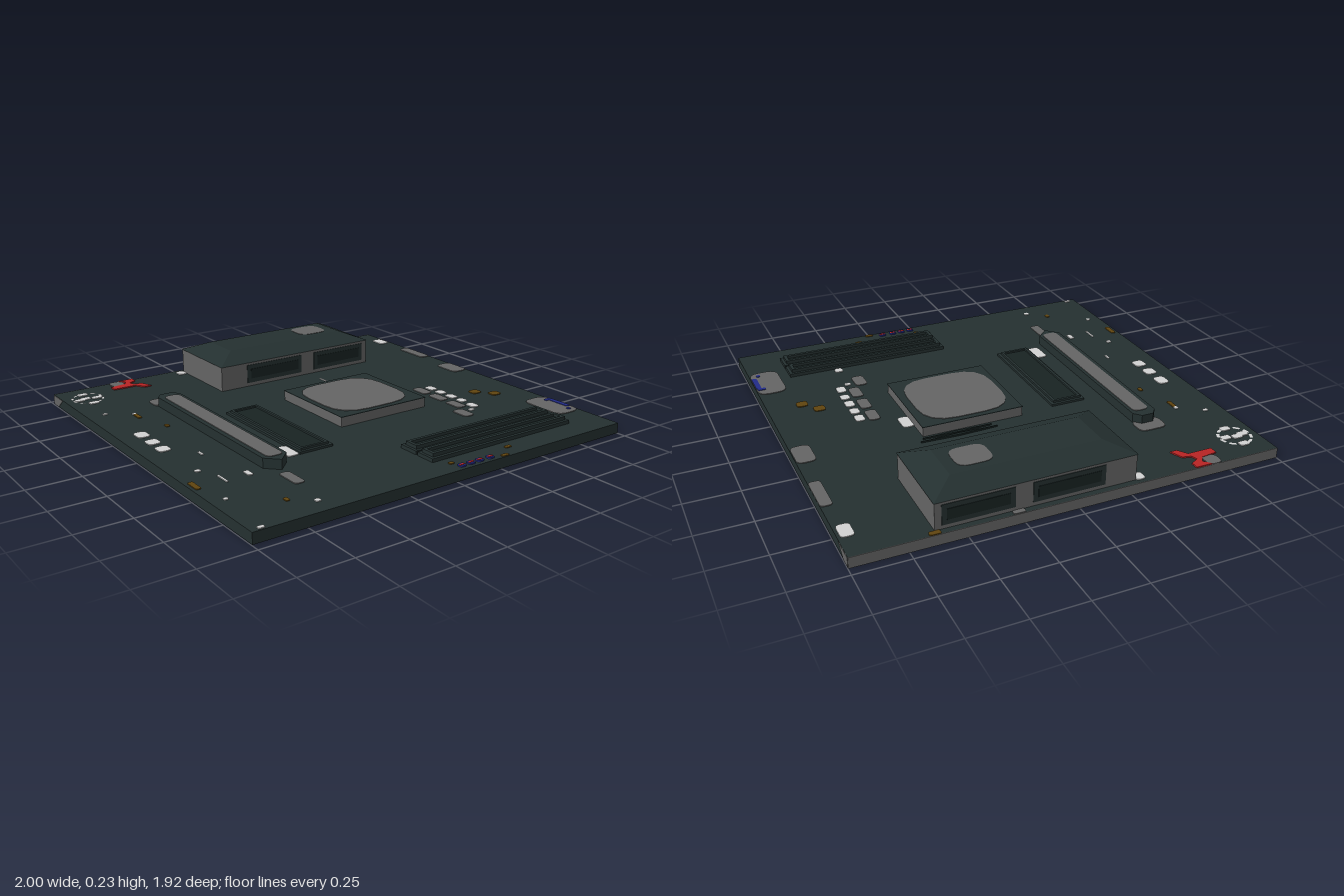
import * as THREE from 'three';

const mat = (name, color) => Object.assign(new THREE.MeshStandardMaterial({ color }), { name });

export function createModel() {
  const model = new THREE.Group();
  model.name = 'circuitBoard';
  const M = {
    board: mat('darkBoard', 0x243030),
    recess: mat('darkRecess', 0x182322),
    grey: mat('metalGrey', 0x646464),
    white: mat('paleGrey', 0xd2d2d2),
    red: mat('red', 0xb82424),
    blue: mat('blue', 0x222c88),
    brown: mat('brown', 0x60440f),
  };
  const TOP = 0.052;

  function add(name, geo, material) {
    const m = new THREE.Mesh(geo, material);
    m.name = name;
    model.add(m);
    return m;
  }
  // axis-aligned box given by its limits
  function box(name, x0, x1, y0, y1, z0, z1, material) {
    const m = add(name, new THREE.BoxGeometry(x1 - x0, y1 - y0, z1 - z0), material);
    m.position.set((x0 + x1) / 2, (y0 + y1) / 2, (z0 + z1) / 2);
    return m;
  }
  // plan outline from [x, z] points
  const outline = (pts, C = THREE.Shape) => new C(pts.map(([x, z]) => new THREE.Vector2(x, -z)));
  const rect = (x0, x1, z0, z1) => [[x0, z1], [x1, z1], [x1, z0], [x0, z0]];
  function slab(name, shape, y0, y1, material) {
    const geo = new THREE.ExtrudeGeometry(shape, { depth: y1 - y0, bevelEnabled: false, curveSegments: 4 });
    geo.rotateX(-Math.PI / 2);
    const m = add(name, geo, material);
    m.position.y = y0;
    return m;
  }
  // thin rounded pad centred on x, z
  function pad(name, x, z, w, d, material, y = TOP, h = 0.004) {
    const r = Math.min(w, d) * 0.35, a = w / 2, b = d / 2, s = new THREE.Shape();
    s.moveTo(-a + r, -b).lineTo(a - r, -b).quadraticCurveTo(a, -b, a, -b + r);
    s.lineTo(a, b - r).quadraticCurveTo(a, b, a - r, b).lineTo(-a + r, b);
    s.quadraticCurveTo(-a, b, -a, b - r).lineTo(-a, -b + r).quadraticCurveTo(-a, -b, -a + r, -b);
    const m = slab(name, s, y, y + h, material);
    m.position.x = x;
    m.position.z = z;
  }
  // four-sided tapered shell between two rectangles
  function taper(name, lo, hi, y0, y1, material) {
    const g = new THREE.BoxGeometry(1, 1, 1), p = g.attributes.position;
    for (let i = 0; i < p.count; i++) {
      const r = p.getY(i) > 0 ? hi : lo;
      p.setXYZ(i, p.getX(i) > 0 ? r[1] : r[0], p.getY(i) > 0 ? y1 : y0, p.getZ(i) > 0 ? r[3] : r[2]);
    }
    g.computeVertexNormals();
    add(name, g, material);
  }

  // main board with metal rear edge wrapping onto both sides
  box('board', -0.998, 0.998, 0.002, TOP, -0.957, 0.958, M.board);
  box('rearEdge', -0.998, 0.998, 0.002, TOP, -0.96, -0.957, M.grey);
  for (const s of [-1, 1]) {
    const side = new THREE.Shape([[0.957, 0.004], [0.9, 0.004], [0.84, 0.05], [0.957, 0.05]]
      .map(([a, b]) => new THREE.Vector2(a, b)));
    const m = add('sideEdge', new THREE.ExtrudeGeometry(side, { depth: 0.002, bevelEnabled: false }), M.grey);
    m.rotation.y = Math.PI / 2;
    m.position.x = s > 0 ? 0.998 : -1;
  }

  // underside plate with a dark opening
  const under = outline([[-0.455, 0.4], [-0.455, 0.65], [-0.575, 0.69], [-0.61, 0.82], [-0.925, 0.84],
    [-0.99, 0.73], [-0.95, 0.67], [-0.72, 0.66], [-0.7, 0.54], [-0.88, 0.49], [-0.95, 0.63], [-0.99, 0.63],
    [-0.94, 0.28], [-0.585, 0.27], [-0.565, 0.4]]);
  slab('undersidePlate', under, 0, 0.002, M.grey);

  // rear housing with tapered lid and framed windows
  box('housing', -0.28, 0.635, TOP, 0.178, -0.93, -0.51, M.grey);
  taper('housingLid', [-0.283, 0.638, -0.933, -0.507], [-0.165, 0.525, -0.825, -0.615], 0.178, 0.224, M.board);
  pad('lidPatch', 0.39, -0.72, 0.165, 0.145, M.grey, 0.224, 0.002);
  for (const [x0, x1] of [[-0.13, 0.205], [0.285, 0.605]]) {
    for (const [z, d] of [[-0.51, 1], [-0.93, -1]]) {
      const plate = (name, i, t, material) => box(name, x0 + i, x1 - i, 0.07 + i, 0.165 - i,
        Math.min(z, z + d * t), Math.max(z, z + d * t), material);
      plate('windowFrame', 0, 0.003, M.board);
      plate('windowPane', 0.022, 0.005, M.recess);
    }
  }

  // processor socket
  box('socketBase', -0.09, 0.41, TOP, 0.098, -0.22, 0.26, M.grey);
  box('socketRim', -0.092, 0.412, 0.098, 0.101, -0.222, 0.262, M.board);
  pad('processorLid', 0.155, 0.02, 0.44, 0.43, M.grey, 0.101, 0.003);
  for (const [z, w] of [[-0.27, 0.38], [-0.245, 0.34]])
    slab('socketRidge', outline([[0.25 - w / 2, z], [0.25, z + 0.008], [0.25 + w / 2, z], [0.25, z - 0.008]]),
      TOP, 0.06, M.recess);

  // open-topped connector: tapered walls around a sunken floor
  function connector(name, x0, x1, z0, z1, h, rim) {
    const b = 0.014;
    const s = outline(rect(x0 + b, x1 - b, z0 + b, z1 - b));
    s.holes.push(outline(rect(x0 + rim, x1 - rim, z0 + rim, z1 - rim), THREE.Path));
    const g = new THREE.ExtrudeGeometry(s, { depth: h - TOP, bevelEnabled: false });
    g.rotateX(-Math.PI / 2);
    add(name, g, M.board).position.y = TOP;
    box(name + 'Foot', x0, x1, TOP, TOP + (h - TOP) * 0.5, z0, z1, M.board);
    box(name + 'Floor', x0 + rim, x1 - rim, TOP, TOP + (h - TOP) * 0.6, z0 + rim, z1 - rim, M.recess);
  }
  connector('frontSlot', -0.03, 0.805, 0.62, 0.72, 0.086, 0.03);
  connector('frontSlot', -0.03, 0.805, 0.73, 0.83, 0.086, 0.03);
  connector('centreSlot', -0.435, -0.26, -0.2, 0.43, 0.073, 0.027);

  // long slot with pointed ends and a grey insert
  slab('longSlot', outline([[-0.648, 0.47], [-0.59, 0.528], [-0.53, 0.47], [-0.53, -0.49], [-0.56, -0.525],
    [-0.62, -0.525], [-0.648, -0.49]]), TOP, 0.098, M.board);
  pad('longSlotInsert', -0.586, 0, 0.08, 0.955, M.grey, 0.098, 0.003);

  // surface pads: x, z, width, depth
  const pads = {
    grey: [[-0.59, -0.54, 0.14, 0.1], [0.97, -0.49, 0.055, 0.2], [0.95, -0.15, 0.09, 0.15],
      [0.925, 0.605, 0.14, 0.245], [0.555, 0.07, 0.055, 0.1], [0.555, 0.195, 0.055, 0.1],
      [0.555, 0.325, 0.055, 0.1], [0.5, 0.44, 0.06, 0.1], [-0.605, 0.625, 0.05, 0.13],
      [-0.67, -0.925, 0.07, 0.07], [0.275, -0.945, 0.055, 0.025]],
    white: [[-0.89, -0.175, 0.06, 0.075], [-0.89, -0.065, 0.06, 0.065], [-0.89, 0.035, 0.06, 0.065],
      [0.435, -0.06, 0.055, 0.1], [-0.465, 0.37, 0.06, 0.12], [0.62, 0.065, 0.045, 0.06],
      [0.62, 0.14, 0.045, 0.055], [0.62, 0.22, 0.045, 0.06], [0.62, 0.295, 0.045, 0.05],
      [0.613, 0.38, 0.045, 0.06], [0.56, 0.595, 0.04, 0.04], [0.955, -0.785, 0.06, 0.09],
      [-0.305, -0.91, 0.045, 0.055], [-0.645, 0.865, 0.025, 0.025], [-0.95, 0.94, 0.03, 0.02],
      [-0.885, 0.34, 0.025, 0.025], [-0.91, -0.53, 0.025, 0.02], [0.565, 0.425, 0.03, 0.025],
      [-0.725, 0.48, 0.025, 0.05], [0.25, -0.36, 0.008, 0.08], [-0.93, 0.65, 0.02, 0.02],
      [-0.78, 0.175, 0.012, 0.04], [-0.795, -0.455, 0.02, 0.02], [-0.84, 0.47, 0.01, 0.08]],
    brown: [[0.765, 0.235, 0.055, 0.05], [0.83, 0.31, 0.055, 0.05], [0.64, -0.945, 0.05, 0.025],
      [-0.795, -0.415, 0.02, 0.06], [-0.74, -0.22, 0.02, 0.03], [-0.97, 0.47, 0.025, 0.08],
      [0.28, 0.945, 0.04, 0.02], [0.36, 0.88, 0.035, 0.02], [0.03, 0.88, 0.025, 0.02], [-0.74, 0.79, 0.02, 0.03]],
    blue: [[0.97, 0.54, 0.04, 0.02], [0.982, 0.605, 0.025, 0.12], [0.955, 0.69, 0.02, 0.02]],
  };
  for (const [key, list] of Object.entries(pads))
    for (const [x, z, w, d] of list) pad(key + 'Pad', x, z, w, d, M[key], TOP, key === 'blue' ? 0.007 : 0.004);

  // front header pins
  for (const x of [0.05, 0.1, 0.15, 0.21]) {
    pad('headerPin', x, 0.925, 0.035, 0.03, M.blue, TOP, 0.006);
    pad('headerPinTip', x, 0.925, 0.03, 0.01, M.red, TOP, 0.008);
  }

  // red branching trace
  slab('redTrace', outline([[-0.65, -0.958], [-0.57, -0.958], [-0.57, -0.92], [-0.61, -0.9], [-0.6, -0.87],
    [-0.56, -0.86], [-0.535, -0.8], [-0.57, -0.8], [-0.6, -0.845], [-0.72, -0.845], [-0.72, -0.885],
    [-0.64, -0.895], [-0.62, -0.925]]), TOP, TOP + 0.006, M.red);

  // dashed ring mark at the rear corner
  for (let i = 0; i < 10; i++) {
    const a = i * Math.PI / 5;
    const arc = add('ringDash', new THREE.RingGeometry(0.068, 0.082, 4, 1, a, 0.42).rotateX(-Math.PI / 2), M.white);
    arc.position.set(-0.885, TOP + 0.003, -0.795);
  }
  for (const [x, z] of [[-0.885, -0.865], [-0.93, -0.79], [-0.84, -0.79], [-0.885, -0.72], [-0.895, -0.8]])
    pad('ringDot', x, z, 0.05, 0.035, M.white);

  return model;
}
